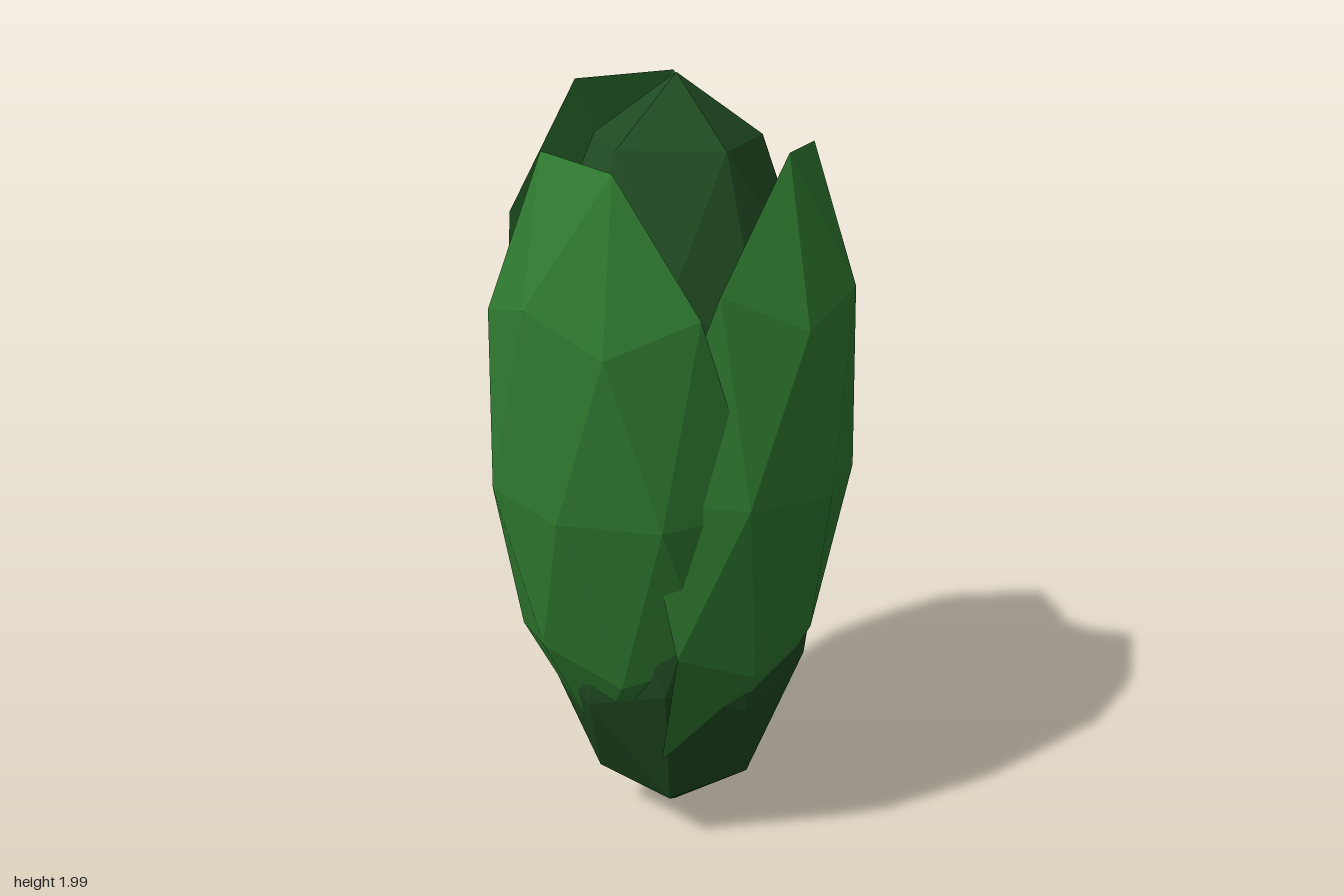
import * as THREE from 'three';

const leafMaterial = new THREE.MeshStandardMaterial({ color: 0x2f7a30, flatShading: true, side: THREE.DoubleSide });
const coreMaterial = new THREE.MeshStandardMaterial({ color: 0x1f4a21, flatShading: true });

// Faceted ball of 80 faces with a vertex at the top, and the top ring's first vertex towards +x (turned by yaw)
function facetedBall(yaw) {
  const ball = new THREE.IcosahedronGeometry(1, 1);
  ball.rotateX(-Math.atan((1 + Math.sqrt(5)) / 2));
  ball.rotateY(Math.PI / 2 + yaw);
  return ball;
}

// Petal shell: the outer (+x) half of a ball, open at the top and bottom
function petalGeometry() {
  const source = facetedBall(Math.PI).getAttribute('position');
  const kept = [];
  for (let i = 0; i < source.count; i += 3) {
    const corners = [0, 1, 2].map(k => new THREE.Vector3().fromBufferAttribute(source, i + k));
    if (corners.every(c => c.x > -0.01 && Math.abs(c.y) < 0.99)) {
      corners.forEach(c => kept.push(c.x, c.y, c.z));
    }
  }
  const geometry = new THREE.BufferGeometry();
  geometry.setAttribute('position', new THREE.Float32BufferAttribute(kept, 3));
  geometry.scale(0.4, 0.91, 0.4);
  geometry.rotateX(-0.06);  // slight sideways twist
  geometry.rotateZ(-0.089); // opens outwards at the top
  geometry.translate(0.07, 0, 0);
  geometry.computeVertexNormals();
  return geometry;
}

export function createModel() {
  const bud = new THREE.Group();
  bud.name = 'bud';

  // Closed inner bud
  const coreGeometry = facetedBall(0);
  coreGeometry.scale(0.4, 0.995, 0.4);
  coreGeometry.computeVertexNormals();
  const core = new THREE.Mesh(coreGeometry, coreMaterial);
  core.name = 'core';
  core.position.set(0.02, 1.005, 0);
  bud.add(core);

  // Three overlapping petals, the back one set higher
  const shell = petalGeometry();
  const petals = [['leftPetal', 32.4, 1.09], ['rightPetal', 152.4, 1.09], ['backPetal', 272.4, 1.205]];
  for (const [name, degrees, height] of petals) {
    const petal = new THREE.Mesh(shell, leafMaterial);
    petal.name = name;
    petal.rotation.y = -THREE.MathUtils.degToRad(degrees);
    petal.position.set(-0.004, height, 0.015);
    bud.add(petal);
  }
  return bud;
}
